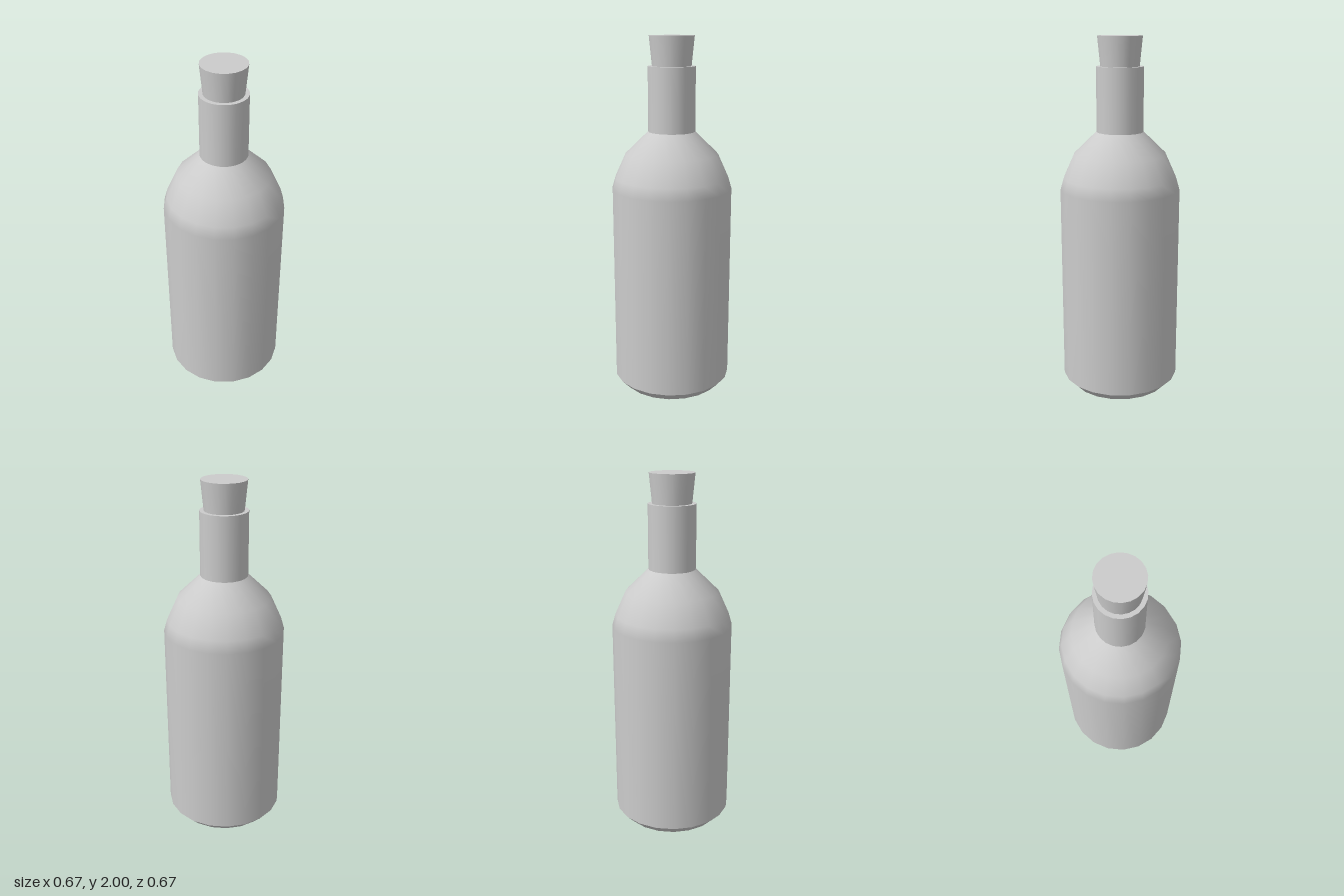
import * as THREE from 'three';

const SIDES = 20;
const material = new THREE.MeshStandardMaterial({ color: 0xcccccc });

// Each run is a smooth [radius, y] profile; edges between runs stay sharp.
function turned(name, runs) {
  const part = new THREE.Group();
  part.name = name;
  for (const [label, profile] of Object.entries(runs)) {
    const points = profile.map(([r, y]) => new THREE.Vector2(r, y));
    const mesh = new THREE.Mesh(new THREE.LatheGeometry(points, SIDES), material);
    mesh.name = label;
    part.add(mesh);
  }
  return part;
}

export function createModel() {
  const model = new THREE.Group();
  model.name = 'corkedBottle';

  // Glass: flat base, bevelled foot, body with rounded shoulder, straight neck
  model.add(turned('bottle', {
    base: [[0, 0], [0.285, 0]],
    footBevel: [[0.285, 0], [0.335, 0.052]],
    bodyAndShoulder: [[0.335, 0.052], [0.335, 1.17], [0.316, 1.235], [0.257, 1.365], [0.13, 1.488]],
    neck: [[0.13, 1.488], [0.13, 1.84]],
    neckRim: [[0.13, 1.84], [0.1, 1.84]],
  }));

  // Tapered stopper seated in the neck
  model.add(turned('cork', {
    corkSide: [[0.105, 1.82], [0.123, 2]],
    corkTop: [[0.123, 2], [0, 2]],
  }));

  return model;
}
